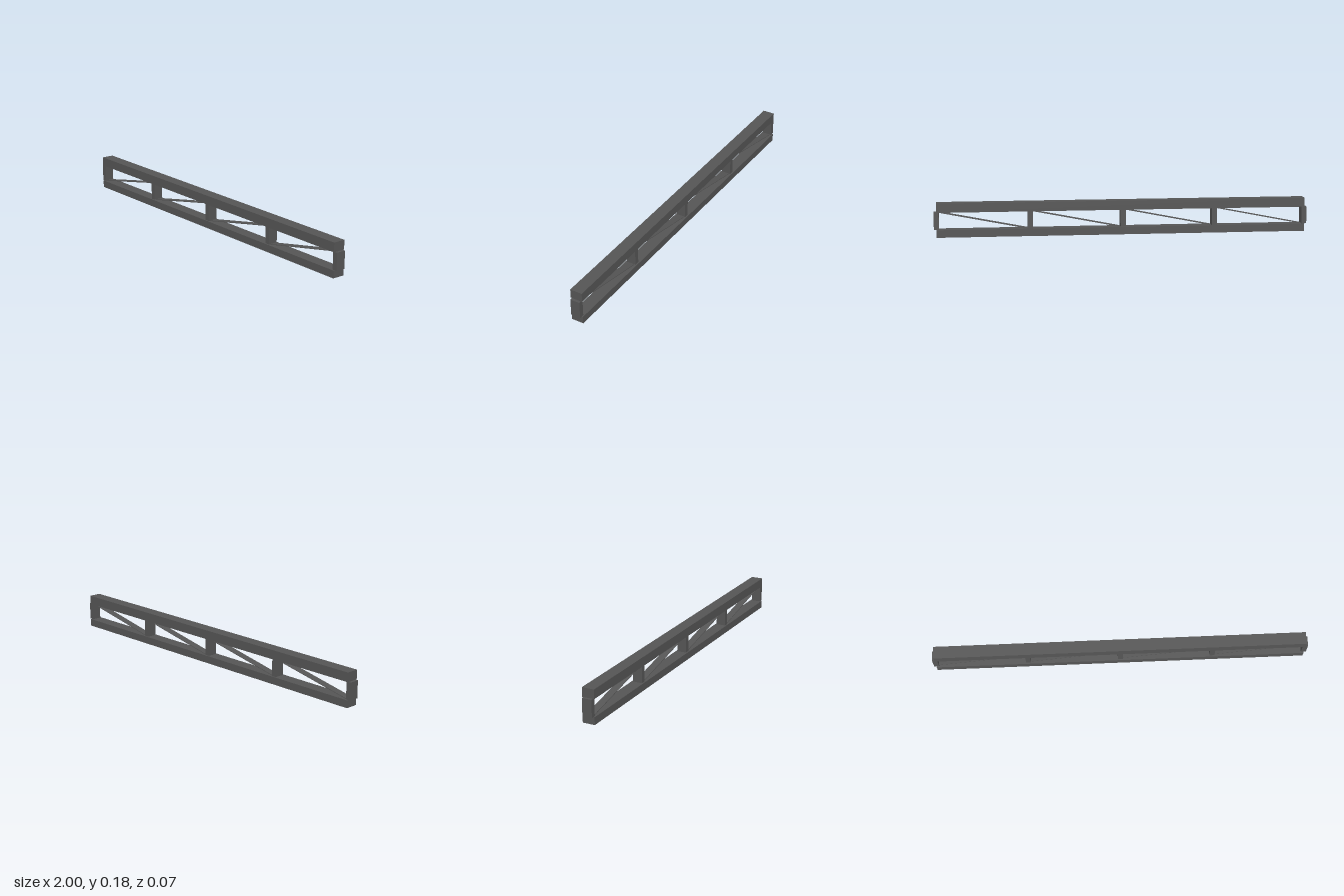
import * as THREE from 'three';

export function createModel() {
  const model = new THREE.Group();
  const material = new THREE.MeshStandardMaterial({ color: 0x555555, flatShading: true });

  function box(name, w, h, d, x, y, tilt = 0) {
    const mesh = new THREE.Mesh(new THREE.BoxGeometry(w, h, d), material);
    mesh.name = name;
    mesh.position.set(x, y, 0);
    mesh.rotation.z = tilt;
    model.add(mesh);
  }

  const length = 1.973, bays = 4, bay = length / bays;
  const low = 0.04, high = 0.132, postWidth = 0.027;
  const middle = (low + high) / 2, rise = high - low;

  // Long horizontal beams
  box('bottomChord', length, low, 0.066, 0, low / 2);
  box('topChord', length, 0.049, 0.066, 0, high + 0.0245);

  // Upright posts, the outer ones straddling the beam ends
  for (let i = 0; i <= bays; i++) {
    box('post', postWidth, rise, 0.052, -length / 2 + i * bay, middle);
  }

  // Thin flat braces rising towards +x in each bay
  const run = bay - postWidth;
  for (let i = 0; i < bays; i++) {
    box('diagonalBrace', Math.hypot(run, rise), 0.003, 0.04,
      -length / 2 + (i + 0.5) * bay, middle, Math.atan2(rise, run));
  }

  return model;
}
